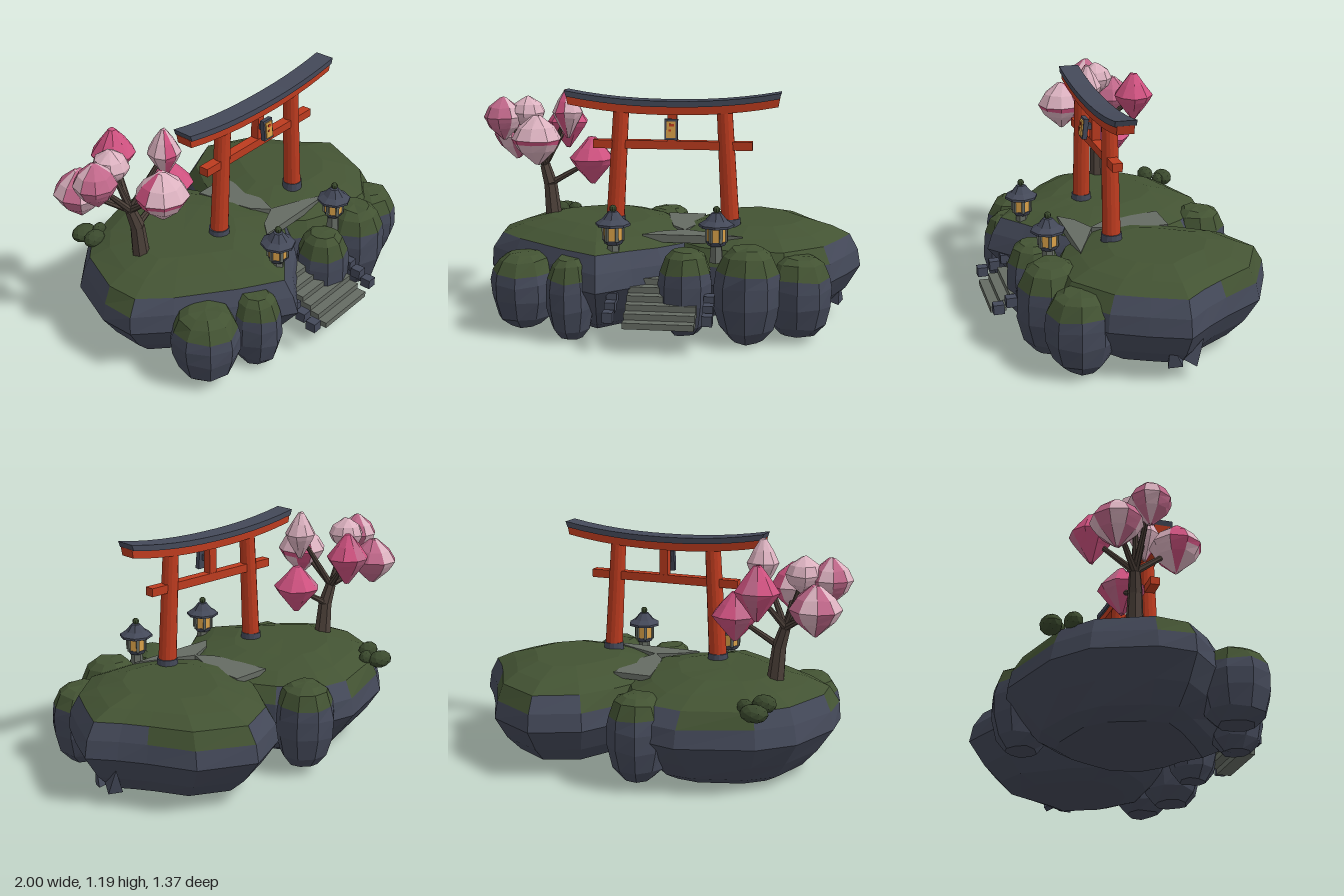
import * as THREE from 'three';

const mat = (name, color) => {
  const m = new THREE.MeshStandardMaterial({ color, flatShading: true });
  m.name = name;
  return m;
};

export function createModel() {
  const rock = mat('slate', 0x444959), moss = mat('moss', 0x435333), foliage = mat('dark foliage', 0x3a492d);
  const red = mat('vermilion', 0xbd3b1f), stone = mat('path stone', 0x656b63);
  const bark = mat('bark', 0x4d413a), gold = mat('lantern gold', 0xd8a048);
  const pale = mat('pale blossom', 0xdcb2c0), mid = mat('mid blossom', 0xc0688a);
  const deep = mat('deep blossom', 0xcf5280);

  const model = new THREE.Group();
  model.name = 'island shrine';
  let seed = 7;
  const rand = () => (seed = (seed * 16807) % 2147483647) / 2147483647;

  const add = (parent, name, geometry, material, x = 0, y = 0, z = 0) => {
    const m = new THREE.Mesh(geometry, material);
    m.name = name;
    m.position.set(x, y, z);
    parent.add(m);
    return m;
  };
  const group = (name, x = 0, y = 0, z = 0) => {
    const g = new THREE.Group();
    g.name = name;
    g.position.set(x, y, z);
    model.add(g);
    return g;
  };
  const box = (w, h, d) => new THREE.BoxGeometry(w, h, d);

  // Closed faceted solid: an outline [x, z] scaled at each [y, scale] level.
  // pick(band, side) returns the material slot of each side face.
  function loft(outline, levels, centre, jitter, pick) {
    const n = outline.length, [cx, cz] = centre;
    const rings = levels.map(([y, s]) => outline.map(([x, z]) => {
      const k = s * (1 + (rand() - 0.5) * jitter);
      return [cx + (x - cx) * k, y + (rand() - 0.5) * jitter * 0.25, cz + (z - cz) * k];
    }));
    const faces = [[], []];
    const last = rings.length - 1;
    const top = [cx, levels[last][0] + 0.004, cz], bottom = [cx, levels[0][0], cz];
    for (let i = 0; i < n; i++) {
      const j = (i + 1) % n;
      for (let b = 0; b < last; b++) {
        const l = rings[b], u = rings[b + 1];
        faces[pick(b, i)].push(l[i], u[i], l[j], u[i], u[j], l[j]);
      }
      faces[pick(last, i)].push(top, rings[last][j], rings[last][i]);
      faces[pick(-1, i)].push(bottom, rings[0][i], rings[0][j]);
    }
    const geo = new THREE.BufferGeometry();
    geo.setAttribute('position', new THREE.Float32BufferAttribute(faces.flat(2), 3));
    geo.addGroup(0, faces[0].length, 0);
    geo.addGroup(faces[0].length, faces[1].length, 1);
    geo.computeVertexNormals();
    return geo;
  }
  const circle = (x, z, rx, rz, n) => Array.from({ length: n }, (_, i) => {
    const a = (i / n) * Math.PI * 2 + 0.2;
    return [x + Math.cos(a) * rx, z + Math.sin(a) * rz];
  });

  // Two large boulders with mossy tops; mossySides get moss one band lower
  const upper = [[0.15, 0.86], [0.27, 1], [0.36, 0.97], [0.44, 0.89], [0.483, 0.71], [0.518, 0.45]];
  const mossCap = (mossySides) => (b, i) => (b >= 5 || (b === 4 && mossySides.includes(i)) ? 1 : 0);
  add(model, 'right boulder', loft([[0.25, -0.05], [0.2, 0.2], [0.03, 0.38], [-0.12, 0.47], [-0.28, 0.605],
    [-0.5, 0.46], [-0.78, 0.25], [-0.93, 0.1], [-0.93, -0.08], [-0.82, -0.36], [-0.66, -0.5], [-0.3, -0.62],
    [-0.12, -0.6], [0.06, -0.42], [0.15, -0.25]], [[0.012, 0.58], [0.06, 0.72], ...upper],
  [-0.38, -0.05], 0.025, mossCap([7, 10, 13])), [rock, moss]);
  add(model, 'left boulder', loft([[0.995, -0.1], [0.92, 0.08], [0.84, 0.25], [0.62, 0.42], [0.35, 0.42],
    [0.16, 0.34], [-0.02, 0.17], [-0.08, -0.05], [0, -0.25], [0.08, -0.39], [0.2, -0.58], [0.44, -0.685],
    [0.7, -0.55], [0.82, -0.34], [0.9, -0.22]], [[0.03, 0.5], [0.065, 0.7], ...upper],
  [0.48, -0.1], 0.015, mossCap([2, 3, 4, 5, 8, 9, 11, 12])), [rock, moss]);

  // Small boulders around the edge: x, z, radius x, radius z, bottom, top
  [[-0.685, 0.365, 0.165, 0.175, 0.04, 0.405], [-0.43, 0.46, 0.12, 0.145, 0.01, 0.41],
    [0.135, 0.445, 0.135, 0.14, 0.05, 0.46], [0.435, 0.425, 0.165, 0.17, 0.02, 0.475],
    [0.68, 0.34, 0.165, 0.17, 0.03, 0.42], [-0.065, -0.505, 0.15, 0.155, 0.05, 0.475],
  ].forEach(([x, z, rx, rz, y0, y1]) => {
    const levels = [[0, 0.5], [0.14, 0.82], [0.4, 1], [0.62, 1], [0.76, 0.94], [0.93, 0.74], [1, 0.48]]
      .map(([t, s]) => [y0 + (y1 - y0) * t, s]);
    add(model, 'edge boulder', loft(circle(x, z, rx, rz, 9), levels, [x, z], 0.06, (b) => (b >= 4 ? 1 : 0)), [rock, moss]);
  });

  // Small spurs on the outer rock face
  [-0.17, -0.05].forEach((z) => {
    const s = add(model, 'rock spur', new THREE.ConeGeometry(0.05, 0.13, 4), rock, 0.88, 0.15, z);
    s.rotation.set(z < -0.1 ? -0.35 : 0.35, 0.4, -0.2);
  });

  // Bushes at the back edge
  [[-0.65, 0.45, -0.5, 0.07, 0.045], [-0.67, 0.47, -0.4, 0.06, 0.045], [-0.59, 0.46, -0.45, 0.04, 0.04]]
    .forEach(([x, y, z, r, h]) => {
      add(model, 'bush', new THREE.IcosahedronGeometry(1, 1), foliage, x, y, z).scale.set(r, h, r * 0.75);
    });

  // Stairs with side blocks
  for (let i = 0; i < 6; i++) {
    add(model, 'stair step', box(0.34, 0.03, 0.08), stone, 0.03, 0.145 + i * 0.03, 0.645 - i * 0.05);
  }
  for (const x of [-0.21, 0.26]) {
    [[0.655, 0.18], [0.59, 0.21], [0.53, 0.24]].forEach(([z, y]) =>
      add(model, 'stair side block', box(0.05, 0.05, 0.055), rock, x, y, z));
  }

  // Path slabs: flat outlines sunk into the ground
  const slab = (pts, thickness) => {
    const shape = new THREE.Shape(pts.map(([x, z]) => new THREE.Vector2(x, -z)));
    const geo = new THREE.ExtrudeGeometry(shape, { depth: thickness, bevelEnabled: false });
    geo.rotateX(-Math.PI / 2);
    add(model, 'path slab', geo, stone, 0, 0.492 - thickness, 0);
  };
  slab([[-0.03, -0.26], [0.17, -0.26], [0.17, -0.12], [0.14, 0.03], [0.1, 0.14], [0.03, 0.05], [0, -0.08]], 0.03);
  slab([[0.1, 0.13], [0.24, 0.19], [0.4, 0.265], [-0.1, 0.265], [-0.03, 0.19]], 0.04);

  // Gate
  const gate = group('gate', 0.03, 0, 0.09);
  for (const s of [-1, 1]) {
    const pillar = add(gate, 'gate pillar', new THREE.CylinderGeometry(0.04, 0.047, 0.58, 14), red, s * 0.28, 0.8, 0);
    pillar.rotation.z = s * 0.06;
    add(gate, 'pillar collar', new THREE.CylinderGeometry(0.052, 0.055, 0.06, 14), rock, s * 0.297, 0.518, 0);
  }
  add(gate, 'tie beam', box(0.81, 0.043, 0.05), red, 0, 0.92, 0);
  add(gate, 'centre strut', box(0.045, 0.15, 0.045), red, 0, 1.01, 0);
  const curvedBeam = (name, y0, y1, half, slant, depth, material) => {
    const shape = new THREE.Shape(), N = 12;
    const edge = (t, y, h) => [t * h, y + 0.047 * Math.abs(t) ** 2.2];
    for (let i = 0; i <= N; i++) {
      const p = edge((i / N) * 2 - 1, y0, half);
      i ? shape.lineTo(...p) : shape.moveTo(...p);
    }
    for (let i = N; i >= 0; i--) shape.lineTo(...edge((i / N) * 2 - 1, y1, half + slant));
    const geo = new THREE.ExtrudeGeometry(shape, { depth, bevelEnabled: false });
    geo.translate(0, 0, -depth / 2);
    add(gate, name, geo, material);
  };
  curvedBeam('top beam', 1.075, 1.118, 0.53, 0.008, 0.085, red);
  curvedBeam('beam cap', 1.115, 1.145, 0.535, 0.01, 0.105, rock);

  // Plaque on the gate, leaning back
  const plaque = group('plaque', 0.03, 1.005, 0.148);
  plaque.rotation.x = -0.1;
  add(plaque, 'plaque frame', box(0.066, 0.106, 0.024), rock);
  add(plaque, 'plaque panel', box(0.046, 0.082, 0.009), gold, 0, 0, 0.0145);
  add(plaque, 'plaque upper mark', box(0.024, 0.014, 0.004), red, 0.003, 0.022, 0.019);
  add(plaque, 'plaque lower mark', box(0.012, 0.01, 0.004), red, -0.006, -0.004, 0.019);
  add(plaque, 'plaque bracket', box(0.03, 0.03, 0.05), rock, 0, 0.01, -0.03);

  // Stone lanterns: six lit faces between corner posts
  const roof = [[0.03, 0.572], [0.086, 0.572], [0.086, 0.584], [0.054, 0.604], [0.024, 0.64], [0, 0.643]]
    .map(([r, y]) => new THREE.Vector2(r, y));
  [[-0.22, 0.43], [0.28, 0.4]].forEach(([x, z]) => {
    const g = group('lantern', x, 0, z);
    add(g, 'lantern stem', new THREE.CylinderGeometry(0.03, 0.036, 0.09, 6), stone, 0, 0.44, 0);
    add(g, 'lantern tray', new THREE.CylinderGeometry(0.054, 0.042, 0.022, 6), rock, 0, 0.49, 0)
      .rotation.y = Math.PI / 6;
    add(g, 'lantern light', new THREE.CylinderGeometry(0.05, 0.05, 0.08, 6), gold, 0, 0.537, 0)
      .rotation.y = Math.PI / 6;
    for (let i = 0; i < 6; i++) {
      const a = (i / 6) * Math.PI * 2;
      add(g, 'lantern post', box(0.014, 0.08, 0.016), stone, Math.cos(a) * 0.048, 0.537, Math.sin(a) * 0.048)
        .rotation.y = -a;
    }
    add(g, 'lantern roof', new THREE.LatheGeometry(roof, 8), rock);
    add(g, 'lantern finial', new THREE.SphereGeometry(0.018, 8, 6), foliage, 0, 0.655, 0);
  });

  // Blossom tree: tapered limbs between points
  const limb = (name, a, b, r0, r1) => {
    const p = new THREE.Vector3(...a), q = new THREE.Vector3(...b), d = q.clone().sub(p);
    const m = add(model, name, new THREE.CylinderGeometry(r1, r0, d.length(), 7), bark);
    m.position.copy(p).addScaledVector(d, 0.5);
    m.quaternion.setFromUnitVectors(new THREE.Vector3(0, 1, 0), d.normalize());
  };
  const fork = [-0.68, 0.77, -0.11], low = [-0.65, 0.67, -0.1];
  limb('trunk', [-0.635, 0.49, -0.1], low, 0.045, 0.036);
  limb('trunk', low, fork, 0.037, 0.028);

  // Blossom clusters: centre, radius, half height, roundness, main and accent colour,
  // sides in the accent colour, sides with only an accent belt
  [[[-0.67, 0.93, 0.1], 0.13, 0.125, 0.14, pale, deep, [4, 7], [0, 1, 2, 3, 8]],
    [[-0.53, 1.055, -0.015], 0.082, 0.125, 0.05, pale, deep, [2], []],
    [[-0.77, 1.04, -0.13], 0.093, 0.09, 0.2, pale, mid, [], []],
    [[-0.59, 0.97, -0.3], 0.11, 0.132, 0.02, deep, mid, [6], []],
    [[-0.42, 0.8, -0.1], 0.12, 0.123, 0.02, deep, mid, [5], []],
    [[-0.86, 0.9, -0.25], 0.127, 0.12, 0.14, mid, pale, [2, 4, 6], []],
    [[-0.895, 1.015, -0.1], 0.105, 0.112, 0.16, mid, pale, [0, 4, 6], []],
  ].forEach(([c, r, h, round, main, accent, sides, belt]) => {
    const levels = [[-h, 0.1], [-h * 0.4, 0.6 + round], [-h * 0.12, 0.86 + round / 3], [h * 0.08, 1],
      [h * 0.55, 0.58 + round], [h, 0.17]];
    const pick = (b, i) => (sides.includes(i) || (b === 2 && belt.includes(i)) ? 1 : 0);
    add(model, 'blossom cluster', loft(circle(0, 0, r, r, 9), levels, [0, 0], 0.03, pick), [main, accent], ...c);
    limb('branch', c[0] > -0.5 ? low : fork, c, 0.018, 0.01);
  });

  return model;
}
